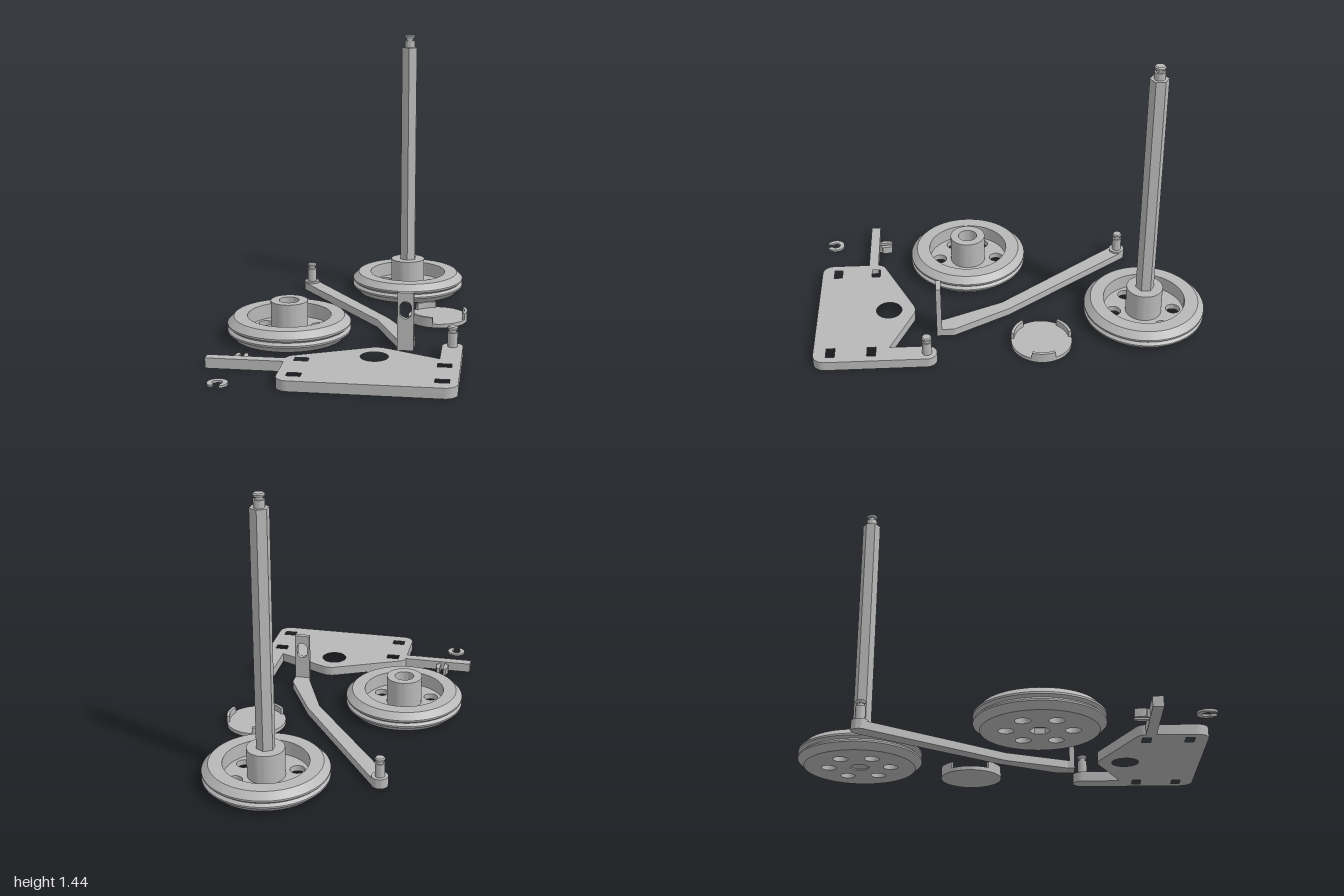
import * as THREE from 'three';
import { toCreasedNormals } from 'three/addons/utils/BufferGeometryUtils.js';

const grey = new THREE.MeshStandardMaterial({ color: 0xb8b8b8 });
grey.name = 'plain grey';

function add(parent, name, geometry, x = 0, y = 0, z = 0) {
  const mesh = new THREE.Mesh(toCreasedNormals(geometry, 0.4), grey);
  mesh.name = name;
  mesh.position.set(x, y, z);
  parent.add(mesh);
  return mesh;
}

function group(parent, name, x = 0, z = 0) {
  const g = new THREE.Group();
  g.name = name;
  g.position.set(x, 0, z);
  parent.add(g);
  return g;
}

// Outline from [x, y, cornerRadius] points with round corners
function outline(points) {
  const shape = new THREE.Shape();
  points.forEach(([x, y, r = 0], i) => {
    const p = new THREE.Vector2(x, y);
    const a = points[(i + points.length - 1) % points.length];
    const b = points[(i + 1) % points.length];
    const u = new THREE.Vector2(a[0] - x, a[1] - y).normalize();
    const v = new THREE.Vector2(b[0] - x, b[1] - y).normalize();
    const turn = Math.PI - Math.acos(THREE.MathUtils.clamp(u.dot(v), -1, 1));
    const t = r * Math.tan(turn / 2);
    const k = t - r * (4 / 3) * Math.tan(turn / 4);
    const s = p.clone().addScaledVector(u, t);
    if (i === 0) shape.moveTo(s.x, s.y); else shape.lineTo(s.x, s.y);
    if (r > 0) {
      const c1 = p.clone().addScaledVector(u, k), c2 = p.clone().addScaledVector(v, k);
      const e = p.clone().addScaledVector(v, t);
      shape.bezierCurveTo(c1.x, c1.y, c2.x, c2.y, e.x, e.y);
    }
  });
  shape.closePath();
  return shape;
}

// Outline on the ground: points are [x, z, cornerRadius]
const ground = (points) => outline(points.map(([x, z, r]) => [x, -z, r]));
const circle = (x, z, r) => new THREE.Path().absarc(x, -z, r, 0, Math.PI * 2, true);
const rect = (x, z, w, d) => ground([
  [x - w / 2, z - d / 2], [x + w / 2, z - d / 2], [x + w / 2, z + d / 2], [x - w / 2, z + d / 2]]);

// Flat slab standing on the ground
function slab(shape, height) {
  return new THREE.ExtrudeGeometry(shape, { depth: height, bevelEnabled: false, curveSegments: 24 })
    .rotateX(-Math.PI / 2);
}

const lathe = (points, segments = 64) =>
  new THREE.LatheGeometry(points.map(([r, y]) => new THREE.Vector2(r, y)), segments);

const ring = (inner, outer, y0, y1) =>
  lathe([[inner, y0], [outer, y0], [outer, y1], [inner, y1], [inner, y0]]);

// Part of a ring between two angles
function arcShape(inner, outer, a0, a1, b0 = a0, b1 = a1) {
  const d = Math.PI / 180;
  const s = new THREE.Shape();
  s.absarc(0, 0, outer, a0 * d, a1 * d, false);
  s.absarc(0, 0, inner, b1 * d, b0 * d, true);
  s.closePath();
  return s;
}

// Round pin with a neck and a bevelled head for the clip
function pin(parent, name, x, y, z, r, bodyHeight) {
  const h = bodyHeight;
  add(parent, name, lathe([
    [0, 0], [r, 0], [r, h], [r * 0.72, h], [r * 0.72, h + 0.012],
    [r * 0.88, h + 0.012], [r * 1.05, h + 0.019], [r * 1.05, h + 0.024],
    [r * 0.85, h + 0.03], [0, h + 0.03]], 32), x, y, z);
}

function wheel(parent, name, x, z, bore) {
  const g = group(parent, name, x, z);
  // Rim with a groove round the tread
  add(g, 'rim', lathe([
    [0.21, 0], [0.278, 0], [0.31, 0.032], [0.31, 0.04], [0.296, 0.052],
    [0.31, 0.064], [0.31, 0.073], [0.278, 0.105], [0.21, 0.105], [0.21, 0]], 80));
  // Web with six round holes and a hexagonal socket
  const web = new THREE.Shape().absarc(0, 0, 0.212, 0, Math.PI * 2, false);
  const hex = [];
  for (let i = 0; i < 6; i++) {
    const a = Math.PI / 2 + i * Math.PI / 3, c = Math.cos(a), s = Math.sin(a);
    web.holes.push(circle(0.155 * c, 0.155 * s, 0.037));
    hex.push([0.05 * c, 0.05 * s]);
  }
  web.holes.push(outline(hex));
  add(g, 'web', slab(web, 0.03));
  add(g, 'hub', ring(bore, 0.093, 0.03, 0.18));
  return g;
}

export function createModel() {
  const model = new THREE.Group();
  model.name = 'spindleKit';

  // Wheel with the tall hexagonal spindle
  const tall = wheel(model, 'spindleWheel', 0.23, -0.69, 0.038);
  add(tall, 'spindle', new THREE.CylinderGeometry(0.047, 0.047, 1.37, 6), 0, 0.69, 0);
  pin(tall, 'spindleTip', 0, 1.375, 0, 0.027, 0.037);

  // Loose wheel with an open bore
  const loose = wheel(model, 'looseWheel', -0.29, 0.21, 0.05);
  add(loose, 'boreFloor', ring(0.028, 0.055, 0.03, 0.05));

  // Base plate with side lug, slots and centre hole
  const base = group(model, 'base');
  const plate = ground([
    [-0.22, 0.675, 0.05], [0.19, 0.488, 0.09], [0.49, 0.622], [0.49, 0.385, 0.0499],
    [0.59, 0.385, 0.0499], [0.59, 1, 0.06], [-0.22, 1, 0.06]]);
  plate.holes.push(circle(0.187, 0.632, 0.066));
  for (const x of [-0.143, 0.518]) {
    for (const z of [0.711, 0.914]) plate.holes.push(rect(x, z, 0.066, 0.044));
  }
  add(base, 'basePlate', slab(plate, 0.05));
  pin(base, 'basePin', 0.54, 0.05, 0.435, 0.024, 0.07);

  // Side bar with a pair of barbed prongs
  add(base, 'sideBar', new THREE.BoxGeometry(0.38, 0.05, 0.05), -0.4, 0.025, 0.727);
  for (const side of [-1, 1]) {
    const prong = [[0.01, 0.705], [0.022, 0.705], [0.022, 0.69], [0.034, 0.685],
      [0.034, 0.665], [0.026, 0.632], [0.01, 0.632]].map(([x, z]) => [-0.435 + side * x, z]);
    add(base, 'prong', slab(ground(prong), 0.04));
  }

  // Bent arm with a pin at one end and a slotted upright at the other
  const arm = group(model, 'arm');
  add(arm, 'armBar', slab(ground([
    [-0.283, -0.65], [0.195, 0.008], [0.35, 0.296], [0.35, 0.384], [0.27, 0.384],
    [0.27, 0.352], [0.138, 0.042], [-0.343, -0.595]]), 0.04));
  add(arm, 'armBoss', new THREE.CylinderGeometry(0.041, 0.041, 0.05, 32), -0.31, 0.025, -0.62);
  pin(arm, 'armPin', -0.31, 0.05, -0.62, 0.024, 0.07);
  const upright = outline([[0.27, 0], [0.35, 0], [0.35, 0.29], [0.27, 0.29]]);
  upright.holes.push(outline([
    [0.282, 0.16, 0.0279], [0.338, 0.16, 0.0279], [0.338, 0.246, 0.0279], [0.282, 0.246, 0.0279]]));
  add(arm, 'slottedUpright', new THREE.ExtrudeGeometry(upright, { depth: 0.026, bevelEnabled: false }),
    0, 0, 0.36);

  // Round cap with three curved tabs
  const cap = group(model, 'cap', 0.435, -0.142);
  add(cap, 'capDisc', new THREE.CylinderGeometry(0.154, 0.154, 0.02, 64), 0, 0.01, 0);
  for (let i = 0; i < 3; i++) {
    const tab = add(cap, 'capTab', slab(arcShape(0.139, 0.154, -23, 23), 0.052));
    tab.rotation.y = i * Math.PI * 2 / 3;
  }

  // Open retaining clip
  add(model, 'clip', slab(arcShape(0.024, 0.048, -69, 249, -48, 228), 0.011), -0.482, 0, 0.953);

  return model;
}
